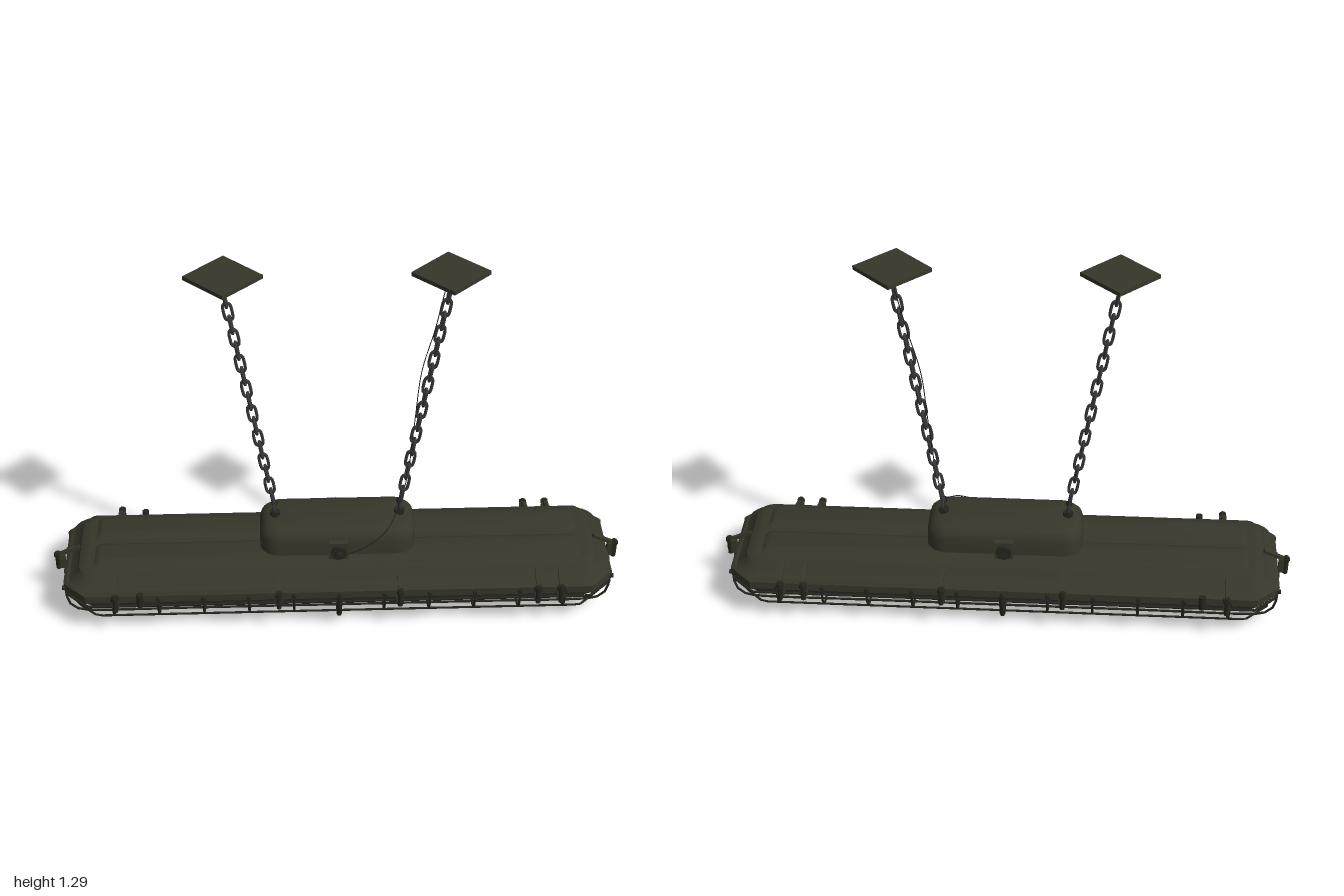
import * as THREE from 'three';
import { toCreasedNormals } from 'three/addons/utils/BufferGeometryUtils.js';

const mat = (name, color) => Object.assign(new THREE.MeshStandardMaterial({ color }), { name });
const V = (x, y, z) => new THREE.Vector3(x, y, z);

// Stack of rounded (or chamfered, seg = 1) rectangles: [halfX, halfZ, corner, y], bottom to top
function loft(levels, seg = 6) {
  const pos = [], idx = [], n = 4 * (seg + 1);
  for (const [hx, hz, r, y] of levels) {
    for (let c = 0; c < 4; c++) for (let k = 0; k <= seg; k++) {
      const a = (c + k / seg) * Math.PI / 2;
      const sx = c === 0 || c === 3 ? 1 : -1, sz = c < 2 ? 1 : -1;
      pos.push(sx * (hx - r) + r * Math.cos(a), y, sz * (hz - r) + r * Math.sin(a));
    }
  }
  const L = levels.length;
  for (let i = 0; i < L - 1; i++) for (let j = 0; j < n; j++) {
    const a = i * n + j, b = i * n + (j + 1) % n;
    idx.push(a, a + n, b, b, a + n, b + n);
  }
  const base = pos.length / 3;
  pos.push(0, levels[0][3], 0, 0, levels[L - 1][3], 0);
  for (let j = 0; j < n; j++) {
    const k = (j + 1) % n;
    idx.push(base, j, k, base + 1, (L - 1) * n + k, (L - 1) * n + j);
  }
  const g = new THREE.BufferGeometry();
  g.setAttribute('position', new THREE.Float32BufferAttribute(pos, 3));
  g.setIndex(idx);
  return toCreasedNormals(g, 0.6);
}

export function createModel() {
  const root = new THREE.Group();
  root.name = 'cagedHangingLamp';
  const olive = mat('olivePaint', 0x36362a);
  const iron = mat('darkIron', 0x26261e);
  const steel = mat('chainSteel', 0x38383c);
  const glass = mat('smokedDiffuser', 0x413d45);
  const black = mat('blackCable', 0x202020);

  const add = (name, geo, m, x = 0, y = 0, z = 0, parent = root) => {
    const mesh = new THREE.Mesh(geo, m);
    mesh.name = name;
    mesh.position.set(x, y, z);
    parent.add(mesh);
    return mesh;
  };
  const box = (w, h, d) => new THREE.BoxGeometry(w, h, d);
  const cyl = (r, h, s = 12) => new THREE.CylinderGeometry(r, r, h, s);
  const tube = (name, pts, r, m, seg = 32, closed = false, parent = root) => add(name,
    new THREE.TubeGeometry(new THREE.CatmullRomCurve3(pts, closed, 'centripetal'), seg, r, 6, closed), m, 0, 0, 0, parent);

  // Housing: chamfered rim, sloping shoulder and two long raised bands with a valley between
  add('rim', loft([[0.95, 0.225, 0.08, 0.12], [0.96, 0.232, 0.08, 0.128],
    [0.96, 0.232, 0.08, 0.156], [0.95, 0.225, 0.08, 0.164]], 1), olive);
  add('shoulder', loft([[0.945, 0.22, 0.08, 0.16], [0.915, 0.185, 0.07, 0.182],
    [0.905, 0.172, 0.06, 0.203], [0.885, 0.155, 0.05, 0.214], [0.87, 0.14, 0.04, 0.216]]), olive);
  for (const s of [1, -1]) {
    add('raisedBand', loft([[0.86, 0.075, 0.02, 0.205], [0.845, 0.06, 0.02, 0.222],
      [0.83, 0.042, 0.02, 0.228]]), olive, 0, 0, s * 0.077);
  }

  // Diffuser below the rim
  add('diffuser', loft([[0.83, 0.1, 0.08, 0.044], [0.87, 0.145, 0.1, 0.049], [0.905, 0.175, 0.11, 0.063],
    [0.93, 0.198, 0.11, 0.085], [0.945, 0.212, 0.1, 0.125]], 8), glass);

  // Central junction box with cable glands
  add('junctionBox', loft([[0.272, 0.115, 0.07, 0.205], [0.272, 0.115, 0.07, 0.28], [0.266, 0.109, 0.065, 0.303],
    [0.25, 0.095, 0.055, 0.319], [0.23, 0.078, 0.045, 0.325]], 8), olive);
  for (const s of [1, -1]) {
    add('glandBoss', box(0.065, 0.07, 0.03), olive, 0, 0.255, s * 0.12);
    add('glandNut', cyl(0.027, 0.02, 8), iron, 0, 0.255, s * 0.138).rotation.x = Math.PI / 2;
  }
  add('glandPlug', cyl(0.012, 0.03), iron, 0, 0.255, 0.148).rotation.x = Math.PI / 2;

  // Wire cage: cross hoops, lengthwise bars and a side ring
  const cage = new THREE.Group();
  cage.name = 'wireCage';
  root.add(cage);
  const hoopPts = [[0.238, 0.13], [0.234, 0.1], [0.215, 0.065], [0.185, 0.044], [0.14, 0.037], [0.06, 0.033]];
  const barPts = [[0.953, 0.13], [0.95, 0.09], [0.935, 0.055], [0.905, 0.038], [0.86, 0.033], [0.5, 0.033]];
  const mirror = (pts, f) => [...pts.map(([a, y]) => f(a, y)), ...pts.slice().reverse().map(([a, y]) => f(-a, y))];
  for (let i = -5; i <= 5; i++) {
    tube('crossHoop', mirror(hoopPts, (z, y) => V(i * 0.157, y, z)), 0.0042, iron, 40, false, cage);
  }
  for (const z of [-0.155, -0.06, 0.06, 0.155]) {
    tube('lengthBar', mirror(barPts, (x, y) => V(x, y + (Math.abs(z) > 0.1 ? 0.004 : 0), z)), 0.0042, iron, 60, false, cage);
  }
  const ring = (name, x, z, c, y, r) => {
    const path = new THREE.CurvePath();
    const p = [[x, z - c], [x - c, z], [c - x, z], [-x, z - c], [-x, c - z], [c - x, -z], [x - c, -z], [x, c - z]];
    p.forEach(([a, b], i) => {
      const [d, e] = p[(i + 1) % 8];
      path.add(new THREE.LineCurve3(V(a, y, b), V(d, y, e)));
    });
    add(name, new THREE.TubeGeometry(path, 160, r, 6, true), iron, 0, 0, 0, cage);
  };
  ring('upperRing', 0.953, 0.237, 0.08, 0.118, 0.005);
  ring('lowerRing', 0.925, 0.205, 0.08, 0.052, 0.004);

  // Heavy guard hoop at the middle
  tube('guardHoop', mirror([[0.24, 0.135], [0.237, 0.1], [0.22, 0.055], [0.19, 0.025], [0.12, 0.014], [0.05, 0.0095]],
    (z, y) => V(0, y, z)), 0.0092, iron, 48, false, cage);

  // Latches: bracket, lever and cross pin, pointing outward along local +z
  const latch = (x, z, turn) => {
    const g = new THREE.Group();
    g.name = 'latch';
    g.position.set(x, 0, z);
    g.rotation.y = turn;
    root.add(g);
    add('latchBracket', box(0.026, 0.055, 0.018), olive, 0, 0.142, 0.006, g);
    add('latchBolt', cyl(0.009, 0.07, 10), iron, 0, 0.142, 0.022, g);
    add('latchNut', cyl(0.014, 0.014, 6), iron, 0, 0.165, 0.022, g);
    add('latchLever', box(0.014, 0.012, 0.085), olive, 0, 0.182, -0.018, g).rotation.x = 0.42;
  };
  for (const s of [1, -1]) {
    const turn = s > 0 ? 0 : Math.PI;
    for (const x of [-0.775, -0.21, 0.21, 0.69, 0.77]) latch(x, s * 0.23, turn);
    add('hinge', cyl(0.012, 0.05, 10), iron, -0.69, 0.145, s * 0.24);
    latch(s * 0.968, 0, s * Math.PI / 2);
    add('endKnob', cyl(0.012, 0.04, 10), iron, s * 0.988, 0.142, 0);
    // Small screws along the rim
    for (let i = -5; i <= 5; i++) add('rimScrew', cyl(0.008, 0.012, 8), iron, i * 0.157, 0.14, s * 0.235).rotation.x = Math.PI / 2;
    for (const z of [-0.155, -0.06, 0.06, 0.155]) add('endScrew', cyl(0.008, 0.014, 8), iron, s * 0.958, 0.14, z).rotation.z = Math.PI / 2;
  }

  // Chain link: a stadium loop along y
  const linkPts = [];
  for (let k = 0; k < 16; k++) {
    const a = (k + 0.5) / 16 * Math.PI * 2;
    linkPts.push(V(0.0135 * Math.cos(a), 0.0145 * Math.sin(a) + (Math.sin(a) > 0 ? 0.018 : -0.018), 0));
  }
  const linkGeo = new THREE.TubeGeometry(new THREE.CatmullRomCurve3(linkPts, true), 32, 0.0056, 6, true);

  for (const s of [1, -1]) {
    // Ceiling plate with round base and eye
    add('ceilingPlate', box(0.184, 0.014, 0.184), olive, s * 0.37, 1.284, 0).rotation.y = Math.PI / 4;
    add('ceilingDisc', cyl(0.068, 0.016, 28), olive, s * 0.37, 1.27, 0);
    tube('ceilingEye', [V(s * 0.385, 1.265, 0), V(s * 0.383, 1.235, 0), V(s * 0.37, 1.218, 0),
      V(s * 0.357, 1.235, 0), V(s * 0.355, 1.265, 0)], 0.005, steel, 20);
    // Chain
    const from = V(s * 0.226, 0.4, 0), to = V(s * 0.366, 1.205, 0), n = 17;
    const chain = new THREE.Group();
    chain.name = 'chain';
    chain.position.copy(from);
    chain.quaternion.setFromUnitVectors(V(0, 1, 0), to.clone().sub(from).normalize());
    root.add(chain);
    for (let i = 0; i < n; i++) {
      add('chainLink', linkGeo, steel, 0, from.distanceTo(to) * i / (n - 1), 0, chain).rotation.y = i % 2 ? 0 : Math.PI / 2;
    }
    // Shackle on the junction box
    add('shackleFoot', cyl(0.018, 0.02, 12), iron, s * 0.218, 0.326, 0);
    add('shacklePin', cyl(0.0075, 0.075, 10), iron, s * 0.22, 0.348, 0).rotation.x = Math.PI / 2;
    for (const e of [1, -1]) add('pinHead', cyl(0.012, 0.008, 8), iron, s * 0.22, 0.348, e * 0.034).rotation.x = Math.PI / 2;
    tube('shackleBow', [V(s * 0.22, 0.34, 0.02), V(s * 0.221, 0.365, 0.018), V(s * 0.223, 0.392, 0),
      V(s * 0.221, 0.365, -0.018), V(s * 0.22, 0.34, -0.02)], 0.0055, steel, 20);
  }

  // Thin cable running down one chain to the front gland
  tube('powerCable', [V(0.37, 1.26, -0.01), V(0.36, 1.22, -0.029), V(0.325, 1.06, -0.018), V(0.285, 0.9, -0.014),
    V(0.265, 0.7, -0.008), V(0.245, 0.5, 0.008), V(0.22, 0.38, 0.015), V(0.17, 0.32, 0.1),
    V(0.09, 0.275, 0.14), V(0, 0.255, 0.16)], 0.0016, black, 80);

  return root;
}
